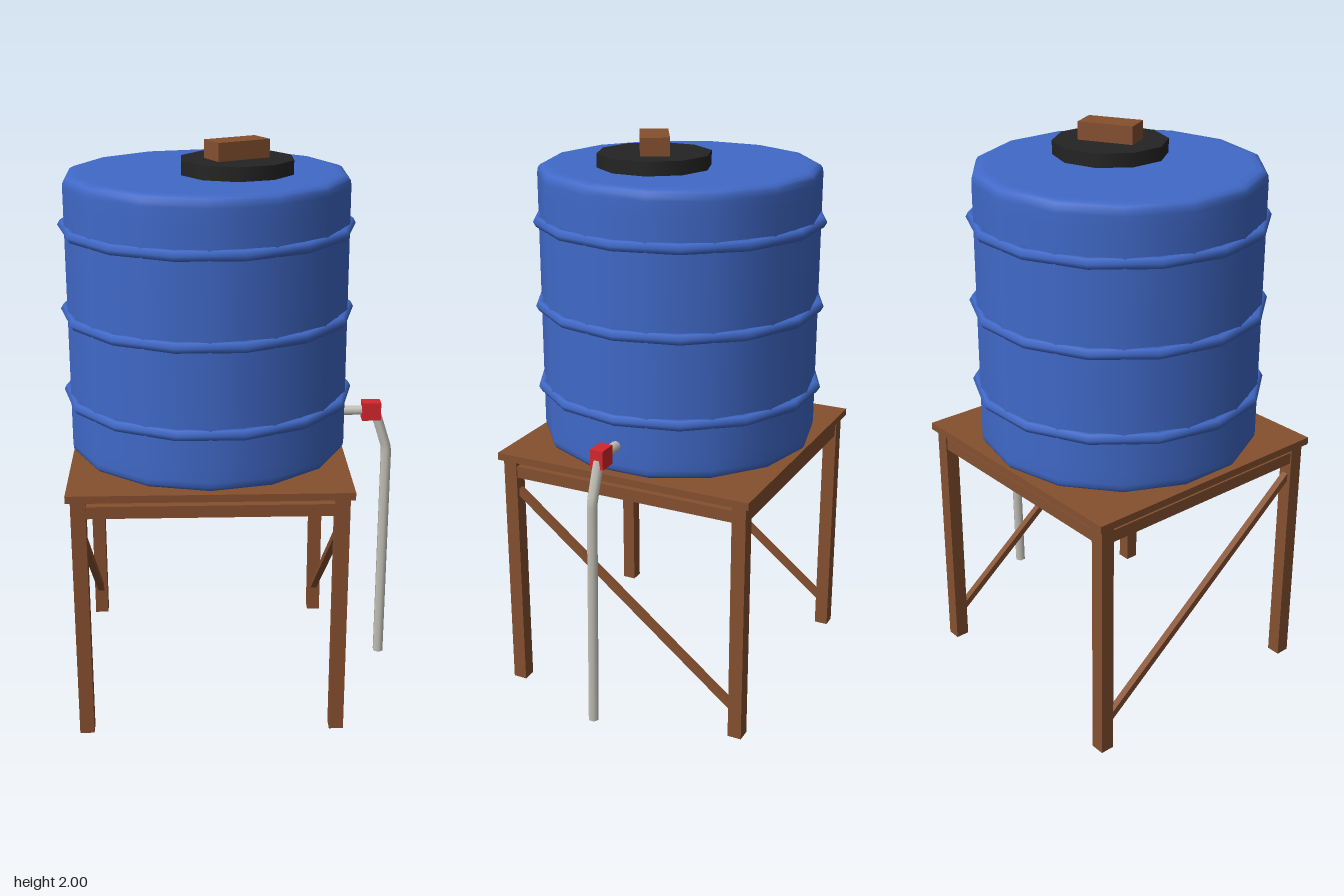
import * as THREE from 'three';

const material = (name, color) => {
  const m = new THREE.MeshStandardMaterial({ color });
  m.name = name;
  return m;
};

export function createModel() {
  const model = new THREE.Group();
  model.name = 'waterTankOnStand';
  const wood = material('brown wood', 0x85502f);
  const blue = material('blue plastic', 0x4069c8);
  const black = material('black plastic', 0x242424);
  const red = material('red valve', 0xd4262c);
  const grey = material('grey pipe', 0xc4c2b8);

  const add = (parent, name, geometry, mat, x = 0, y = 0, z = 0) => {
    const mesh = new THREE.Mesh(geometry, mat);
    mesh.name = name;
    mesh.position.set(x, y, z);
    parent.add(mesh);
    return mesh;
  };
  const box = (parent, name, w, h, d, mat, x, y, z) =>
    add(parent, name, new THREE.BoxGeometry(w, h, d), mat, x, y, z);

  // Stand and tank share an axis a little to one side of the tap
  const axisX = -0.08;
  const stand = new THREE.Group();
  stand.name = 'stand';
  stand.position.x = axisX;
  model.add(stand);

  // Wooden stand: top, legs, rails and one diagonal brace on each side
  const legAt = 0.438, legSize = 0.05;
  box(stand, 'standTop', 0.956, 0.026, 0.956, wood, 0, 0.899, 0);
  for (const s of [-1, 1]) {
    for (const t of [-1, 1])
      box(stand, 'leg', legSize, 0.886, legSize, wood, s * legAt, 0.443, t * legAt);
    const span = 2 * legAt - legSize;
    box(stand, 'crossRail', span, 0.043, 0.04, wood, 0, 0.843, s * legAt);
    box(stand, 'sideRail', 0.04, 0.043, span, wood, s * legAt, 0.843, 0);
    const rise = 0.66, run = 0.84;
    const brace = box(stand, 'brace', 0.024, 0.024, Math.hypot(rise, run), wood, s * legAt, 0.438, 0);
    brace.rotation.x = -Math.atan2(rise, run);
  }

  // Tank body: a fourteen-sided lathe with softened rims
  const tank = new THREE.Group();
  tank.name = 'tank';
  tank.position.x = axisX;
  model.add(tank);
  const profile = [
    [0, 0.918], [0.44, 0.918], [0.465, 0.92], [0.479, 0.927], [0.486, 0.938], [0.488, 0.955],
    [0.488, 1.0], [0.488, 1.81],
    [0.488, 1.855], [0.486, 1.872], [0.479, 1.883], [0.465, 1.89], [0.44, 1.892], [0, 1.892],
  ].map(([r, y]) => new THREE.Vector2(r, y));
  add(tank, 'tankBody', new THREE.LatheGeometry(profile, 14), blue);

  // Ribs, turned half a facet from the body
  for (const y of [1.122, 1.416, 1.71]) {
    const rib = add(tank, 'tankRib', new THREE.TorusGeometry(0.489, 0.0195, 6, 14), blue, 0, y, 0);
    rib.rotation.x = Math.PI / 2;
  }

  // Lid and the wooden block on it
  add(model, 'lid', new THREE.CylinderGeometry(0.195, 0.195, 0.05, 10), black, 0.02, 1.914, 0.047);
  const block = box(model, 'lidBlock', 0.194, 0.062, 0.098, wood, 0.02, 1.969, 0.047);
  block.rotation.y = 0.49;

  // Tap: outlet stub and valve
  const stub = add(model, 'outletStub', new THREE.CylinderGeometry(0.018, 0.018, 0.09, 8), grey, 0.45, 1.028, 0);
  stub.rotation.z = Math.PI / 2;
  box(model, 'valve', 0.067, 0.066, 0.047, red, 0.506, 1.028, 0);

  // Drain pipe: two straight runs joined by a tight bend
  const v = (x, y, z) => new THREE.Vector3(x, y, z);
  const top = v(0.52, 1.03, 0), elbow = v(0.566, 0.885, 0.004), end = v(0.566, 0.054, 0.018);
  const bendIn = elbow.clone().lerp(top, 0.1), bendOut = elbow.clone().lerp(end, 0.02);
  const path = new THREE.CurvePath();
  path.add(new THREE.LineCurve3(top, bendIn));
  path.add(new THREE.QuadraticBezierCurve3(bendIn, elbow, bendOut));
  path.add(new THREE.LineCurve3(bendOut, end));
  add(model, 'drainPipe', new THREE.TubeGeometry(path, 60, 0.02, 6), grey);
  const cap = add(model, 'drainPipeEnd', new THREE.CircleGeometry(0.019, 6), grey, end.x, end.y, end.z);
  cap.rotation.x = Math.PI / 2;

  return model;
}
